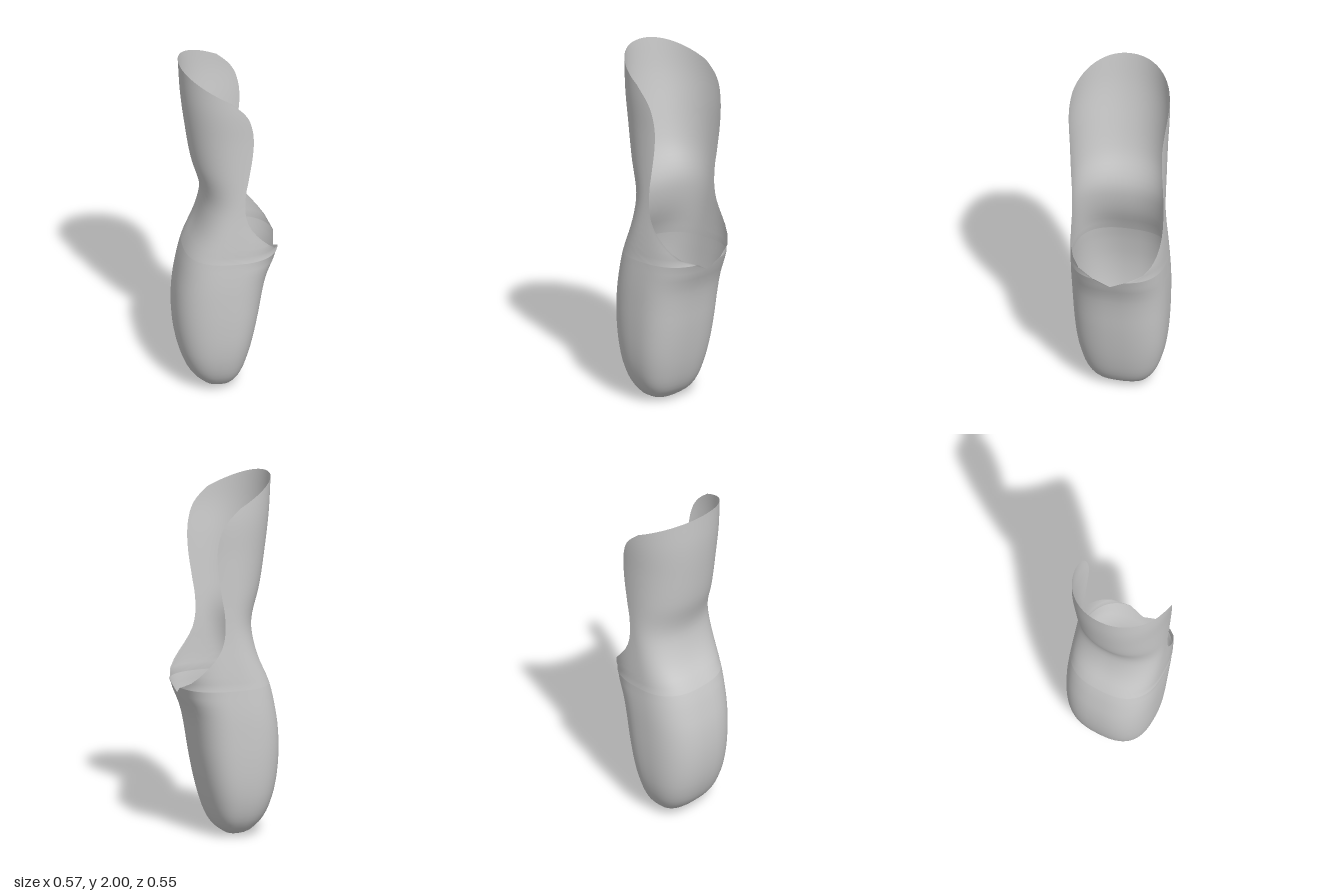
import * as THREE from 'three';
import { mergeVertices } from 'three/addons/utils/BufferGeometryUtils.js';

// Cubic interpolation through rows of [y, ...values]
function profile(rows) {
  const size = rows[0].length - 1;
  const curve = new THREE.CubicInterpolant(rows.map(r => r[0]), rows.flatMap(r => r.slice(1)), size, new Float32Array(size));
  return y => Array.from(curve.evaluate(y));
}

// Cross-sections: y, centre x, back x, front x, half width in z
const section = profile([
  [0, -0.04, -0.042, -0.038, 0.002],
  [0.005, -0.04, -0.08, -0.005, 0.06],
  [0.02, -0.04, -0.115, 0.025, 0.115],
  [0.05, -0.04, -0.155, 0.06, 0.155],
  [0.1, -0.04, -0.2, 0.09, 0.19],
  [0.2, -0.04, -0.245, 0.125, 0.225],
  [0.3, -0.03, -0.27, 0.15, 0.243],
  [0.45, -0.02, -0.285, 0.18, 0.256],
  [0.6, -0.01, -0.28, 0.205, 0.262],
  [0.7, 0, -0.265, 0.228, 0.264],
  [0.85, 0.02, -0.23, 0.287, 0.262],
  [1.0, 0.03, -0.165, 0.31, 0.259],
  [1.1, 0.04, -0.138, 0.32, 0.256],
  [1.2, 0.05, -0.13, 0.32, 0.255],
  [1.4, 0.05, -0.182, 0.32, 0.259],
  [1.6, 0.05, -0.214, 0.32, 0.265],
  [1.8, 0.05, -0.238, 0.32, 0.274],
  [2.0, 0.05, -0.25, 0.32, 0.27],
]);

// Front edge of the opening: y, x where the shell is trimmed
const trim = profile([
  [0.85, 0.282], [0.9, 0.245], [0.95, 0.2], [1.02, 0.14], [1.08, 0.102], [1.15, 0.082],
  [1.25, 0.08], [1.4, 0.098], [1.6, 0.12], [1.75, 0.125], [1.85, 0.115], [1.93, 0.09],
  [1.97, 0.055], [2.0, 0],
]);

const RIM = 0.85;
const signedPow = (v, p) => Math.sign(v) * Math.abs(v) ** p;
const squareness = y => 2.6 - 0.5 * THREE.MathUtils.smoothstep(y, 0.9, 1.3);

// Angle from the back (-x) at which the shell stops
function endAngle(y) {
  if (y <= RIM) return Math.PI;
  const [c, back, front] = section(y);
  const d = trim(y)[0] - c;
  const s = THREE.MathUtils.clamp(d / (d < 0 ? c - back : front - c), -1, 1);
  return Math.acos(-signedPow(s, squareness(y) / 2));
}

// Point on the shell; upper rows slope down towards the front
function shellPoint(level, angle) {
  const slope = 0.5 * Math.max(0, (level - 1.3) / 0.7);
  let y = level, x = 0, z = 0;
  for (let k = 0; k < 4; k++) {
    const [c, back, front, half] = section(y);
    const e = 2 / squareness(y);
    const s = -signedPow(Math.cos(angle), e);
    x = c + s * (s < 0 ? c - back : front - c);
    z = half * signedPow(Math.sin(angle), e);
    y = level - slope * Math.max(0, x + 0.25);
  }
  return [x, y, z];
}

function shellGeometry(columns = 56) {
  // Rows are denser at the rounded toe and around the rim
  const levels = [];
  for (let i = 0; i < 12; i++) levels.push(0.3 * (i / 12) ** 2);
  for (let i = 0; i <= 12; i++) levels.push(0.3 + (RIM - 0.3) * i / 12);
  for (let i = 0; i <= 44; i++) levels.push(RIM + 0.002 + (2 - RIM - 0.002) * Math.sin(i / 44 * Math.PI / 2));

  const positions = [], index = [];
  levels.forEach((level, i) => {
    const end = endAngle(level);
    for (let j = 0; j <= columns; j++) {
      positions.push(...shellPoint(level, end * (2 * j / columns - 1)));
      if (i === 0 || j === 0) continue;
      const b = i * (columns + 1) + j, a = b - columns - 1;
      index.push(a - 1, a, b - 1, a, b, b - 1);
    }
  });
  // Close the toe
  const tip = positions.length / 3;
  positions.push(-0.04, 0, 0);
  for (let j = 0; j < columns; j++) index.push(tip, j + 1, j);

  const geometry = new THREE.BufferGeometry();
  geometry.setAttribute('position', new THREE.Float32BufferAttribute(positions, 3));
  geometry.setIndex(index);
  const welded = mergeVertices(geometry, 1e-5);
  welded.computeVertexNormals();
  return welded;
}

export function createModel() {
  const group = new THREE.Group();
  group.name = 'limbSocket';
  const material = new THREE.MeshStandardMaterial({ color: 0xcccccc, side: THREE.DoubleSide });
  const shell = new THREE.Mesh(shellGeometry(), material);
  shell.name = 'socketShell';
  group.add(shell);
  return group;
}
